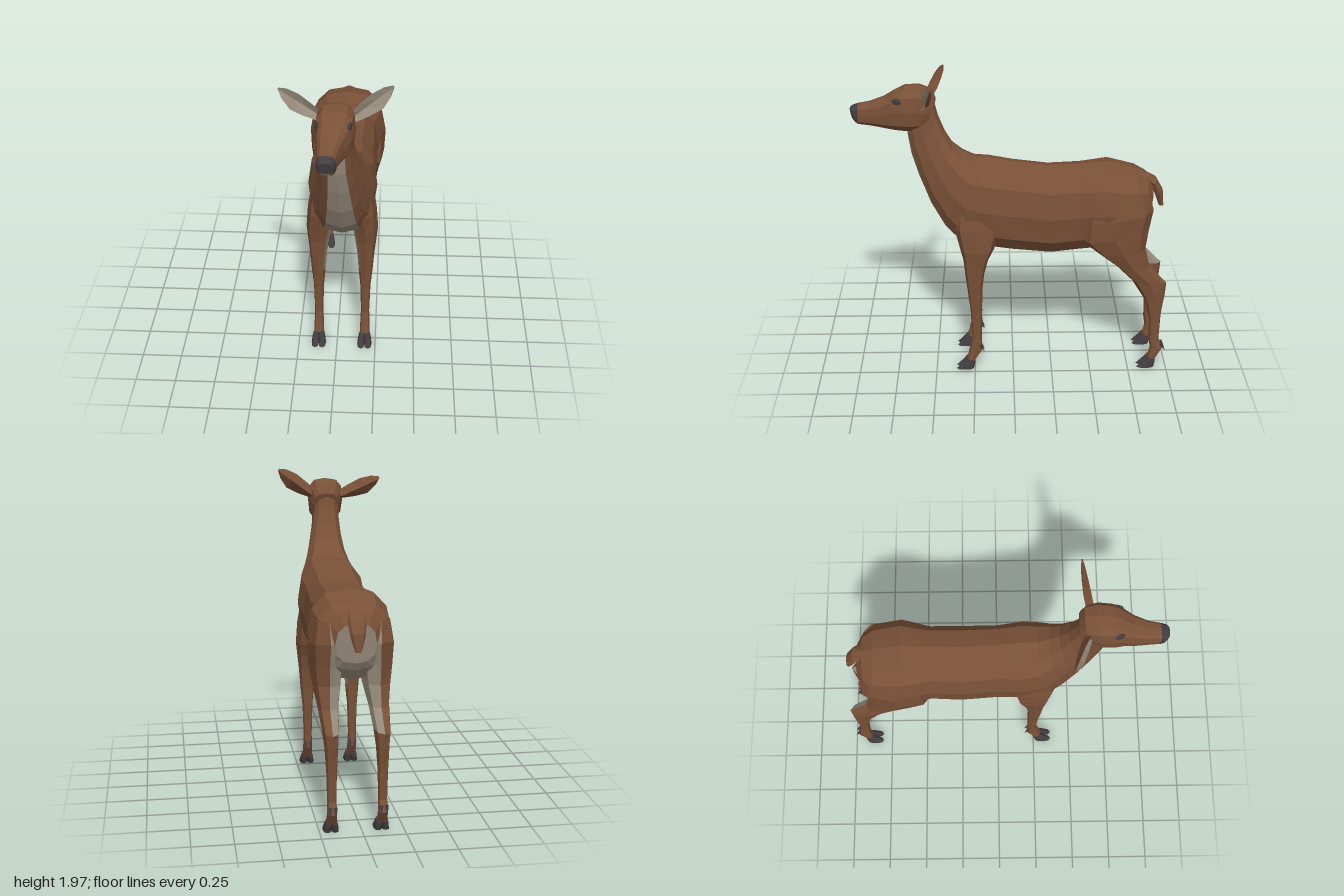
import * as THREE from 'three';

const COAT = 0, PALE = 1, DARK = 2;
const MID = 0.03; // the trunk stands slightly to the left of centre

const makeMaterial = (name, color) => {
  const m = new THREE.MeshStandardMaterial({ color });
  m.name = name;
  return m;
};

// Closed ring spanning side-plane points A and B: [zA, yA, zB, yB, halfWidth, centreX]
function ring([zA, yA, zB, yB, w, cx], n, e) {
  const soft = (v) => Math.sign(v) * Math.pow(Math.abs(v), e);
  return Array.from({ length: n }, (_, i) => {
    const t = (i / n) * Math.PI * 2, c = soft(Math.cos(t)) / 2;
    return new THREE.Vector3(cx + w * soft(Math.sin(t)), (yA + yB) / 2 + (yA - yB) * c, (zA + zB) / 2 + (zA - zB) * c);
  });
}

// Faceted skin over rings; pick(k, i) gives the colour of face i in band k (k = -1 and last are caps)
function loft(rings, pick = () => COAT) {
  const lists = [[], [], []];
  const n = rings[0].length, last = rings.length - 1;
  const tri = (m, ...pts) => pts.forEach((p) => lists[m].push(p.x, p.y, p.z));
  for (let k = 0; k < last; k++) {
    for (let i = 0; i < n; i++) {
      const j = (i + 1) % n, m = pick(k, i);
      const a = rings[k][i], b = rings[k][j], c = rings[k + 1][i], d = rings[k + 1][j];
      tri(m, a, c, b);
      tri(m, b, c, d);
    }
  }
  for (const [r, k] of [[rings[0], -1], [rings[last], last]]) {
    const mid = r.reduce((s, p) => s.add(p), new THREE.Vector3()).divideScalar(n);
    for (let i = 0; i < n; i++) {
      const j = (i + 1) % n;
      if (k < 0) tri(pick(k, i), mid, r[i], r[j]);
      else tri(pick(k, i), mid, r[j], r[i]);
    }
  }
  const geo = new THREE.BufferGeometry();
  geo.setAttribute('position', new THREE.Float32BufferAttribute(lists.flat(), 3));
  let start = 0;
  lists.forEach((l, m) => {
    if (l.length) geo.addGroup(start, l.length / 3, m);
    start += l.length / 3;
  });
  geo.computeVertexNormals();
  return geo;
}

export function createModel() {
  const model = new THREE.Group();
  model.name = 'doe';
  const mats = [
    makeMaterial('brown coat', 0x7a5138),
    makeMaterial('pale fur', 0x968b7b),
    makeMaterial('dark horn', 0x423d40),
  ];
  const add = (name, geo, material = mats) => {
    const mesh = new THREE.Mesh(geo, material);
    mesh.name = name;
    model.add(mesh);
    return mesh;
  };
  const addLoft = (name, rows, n, e, pick) => add(name, loft(rows.map((r) => ring(r, n, e)), pick));

  // Trunk and neck, rump to nape
  const trunk = [
    [-0.88, 1.24, -0.85, 1.0, 0.12, MID],
    [-0.84, 1.31, -0.82, 0.95, 0.17, MID],
    [-0.77, 1.345, -0.76, 0.88, 0.23, MID],
    [-0.6, 1.39, -0.58, 0.84, 0.25, MID],
    [-0.42, 1.375, -0.42, 0.81, 0.205, MID],
    [-0.22, 1.365, -0.24, 0.79, 0.21, MID],
    [0, 1.395, 0, 0.81, 0.2, MID],
    [0.15, 1.42, 0.18, 0.84, 0.215, MID],
    [0.24, 1.43, 0.33, 0.87, 0.2, MID],
    [0.31, 1.47, 0.43, 0.97, 0.165, MID],
    [0.37, 1.52, 0.52, 1.13, 0.135, 0.028],
    [0.42, 1.6, 0.585, 1.3, 0.11, 0.022],
    [0.46, 1.7, 0.63, 1.45, 0.092, 0.015],
    [0.48, 1.78, 0.65, 1.58, 0.088, 0.01],
    [0.5, 1.84, 0.65, 1.68, 0.085, 0.01],
  ];
  addLoft('trunkAndNeck', trunk, 12, 0.8, (k, i) => {
    if (k < 0) return PALE;
    if (k === 0) return i >= 3 && i <= 8 ? PALE : COAT;
    return i === 5 || i === 6 ? PALE : COAT;
  });

  // Head with pale jaw and dark nose
  const head = [
    [0.47, 1.8, 0.53, 1.64, 0.08, 0.015],
    [0.5, 1.86, 0.58, 1.61, 0.1, 0.012],
    [0.57, 1.885, 0.63, 1.605, 0.115, 0.008],
    [0.66, 1.88, 0.69, 1.605, 0.112, 0.003],
    [0.72, 1.85, 0.74, 1.61, 0.098, 0],
    [0.79, 1.805, 0.8, 1.615, 0.08, -0.015],
    [0.88, 1.77, 0.88, 1.625, 0.062, -0.025],
    [0.95, 1.757, 0.95, 1.632, 0.055, -0.028],
    [0.985, 1.745, 0.97, 1.645, 0.05, -0.03],
    [1.0, 1.735, 0.985, 1.665, 0.035, -0.03],
  ];
  addLoft('head', head, 12, 0.65, (k, i) => {
    if (k === 9 || (k >= 7 && (i < 4 || i > 7))) return DARK;
    return i === 5 || i === 6 ? PALE : COAT;
  });

  // Tail
  addLoft('tail', [
    [-0.8, 1.26, -0.83, 1.325, 0.04, MID],
    [-0.87, 1.23, -0.9, 1.28, 0.055, MID],
    [-0.9, 1.16, -0.945, 1.2, 0.045, MID],
    [-0.925, 1.09, -0.955, 1.09, 0.018, MID],
  ], 8, 0.9);

  // Ears: a cupped blade, pale inside
  const ear = (name, s, base, tip) => {
    const d = tip.clone().sub(base), len = Math.hypot(d.x, d.y);
    const up = new THREE.Vector3(-d.y * s, d.x * s, 0).divideScalar(len);
    const rows = [[0, 0.025, 0.03, 1], [0.3, 0.037, 0.055, 1], [0.6, 0.042, 0.07, 0.8], [0.85, 0.028, 0.042, 0.5], [1, 0.003, 0.003, 0.1]];
    const rings = rows.map(([t, hi, lo, f]) => {
      const c = base.clone().addScaledVector(d, t);
      const at = (h, z) => c.clone().addScaledVector(up, h).add(new THREE.Vector3(0, 0, z * f));
      const pts = [at(hi, 0.012), at(-0.01, -0.035), at(-lo, 0.015), at(-0.01, -0.012)];
      return s > 0 ? pts : pts.reverse();
    });
    const inner = s > 0 ? [2, 3] : [0, 3];
    add(name, loft(rings, (k, i) => (k >= 0 && k < 4 && inner.includes(i) ? PALE : COAT)));
  };
  ear('leftEar', 1, new THREE.Vector3(0.09, 1.785, 0.55), new THREE.Vector3(0.328, 1.963, 0.49));
  ear('rightEar', -1, new THREE.Vector3(-0.08, 1.785, 0.53), new THREE.Vector3(-0.328, 1.908, 0.435));

  // Legs, top to ankle; the last value is the distance from the trunk's middle
  const foreLeg = [
    [0.36, 1.15, 0.06, 1.15, 0.06, 0.13],
    [0.37, 1.0, 0.08, 1.0, 0.085, 0.13],
    [0.335, 0.86, 0.12, 0.86, 0.08, 0.145],
    [0.315, 0.78, 0.16, 0.78, 0.068, 0.148],
    [0.305, 0.68, 0.185, 0.68, 0.055, 0.15],
    [0.29, 0.55, 0.2, 0.55, 0.045, 0.15],
    [0.275, 0.42, 0.2, 0.42, 0.033, 0.15],
    [0.265, 0.22, 0.205, 0.22, 0.027, 0.15],
    [0.285, 0.14, 0.2, 0.13, 0.03, 0.15],
    [0.3, 0.07, 0.25, 0.05, 0.032, 0.15],
  ];
  const hindLeg = [
    [-0.45, 1.2, -0.84, 1.24, 0.08, 0.15],
    [-0.43, 1.05, -0.875, 1.12, 0.11, 0.145],
    [-0.42, 0.92, -0.85, 0.98, 0.1, 0.148],
    [-0.53, 0.83, -0.835, 0.86, 0.085, 0.148],
    [-0.66, 0.73, -0.865, 0.73, 0.062, 0.15],
    [-0.76, 0.63, -0.98, 0.61, 0.05, 0.15],
    [-0.84, 0.5, -0.975, 0.54, 0.04, 0.15],
    [-0.88, 0.36, -0.955, 0.38, 0.031, 0.15],
    [-0.885, 0.2, -0.95, 0.2, 0.027, 0.15],
    [-0.895, 0.14, -0.98, 0.13, 0.03, 0.15],
    [-0.88, 0.07, -0.93, 0.05, 0.032, 0.15],
  ];
  for (const s of [1, -1]) {
    const side = s > 0 ? 'left' : 'right';
    for (const [part, rows, paleEnd, dz] of [['Foreleg', foreLeg, 5, 0], ['HindLeg', hindLeg, 5, -1.18]]) {
      // Inner faces of the upper leg are pale, on the hind leg towards the back
      const inner = dz ? [4, 5, 6] : [5, 6];
      addLoft(side + part, rows.map((r) => [...r.slice(0, 5), MID + s * r[5]]), 8, 0.85,
        (k, i) => (k >= 0 && k < paleEnd && inner.includes(s > 0 ? i : 7 - i) ? PALE : COAT));
      // Cloven hoof and dewclaws
      for (const t of [1, -1]) {
        const x = MID + s * 0.15;
        addLoft(side + part + 'Hoof', [
          [0.303 + dz, 0.075, 0.248 + dz, 0.05, 0.018, x + t * 0.017],
          [0.335 + dz, 0.035, 0.252 + dz, 0.025, 0.022, x + t * 0.021],
          [0.37 + dz, 0, 0.258 + dz, 0, 0.024, x + t * 0.023],
        ], 8, 0.8, () => DARK);
        const claw = add(side + part + 'Dewclaw', new THREE.ConeGeometry(0.013, 0.06, 5).toNonIndexed(), mats[DARK]);
        claw.geometry.computeVertexNormals();
        claw.position.set(x + t * 0.016, 0.145, 0.202 + dz);
        claw.rotation.x = -2.6;
      }
    }
    // Eye
    const eye = add(side + 'Eye', new THREE.SphereGeometry(1, 8, 6).toNonIndexed(), mats[DARK]);
    eye.geometry.computeVertexNormals();
    eye.scale.set(0.014, 0.022, 0.034);
    eye.position.set(s * 0.091, 1.808, 0.7);
    eye.rotation.y = -s * 0.25;
  }
  return model;
}
